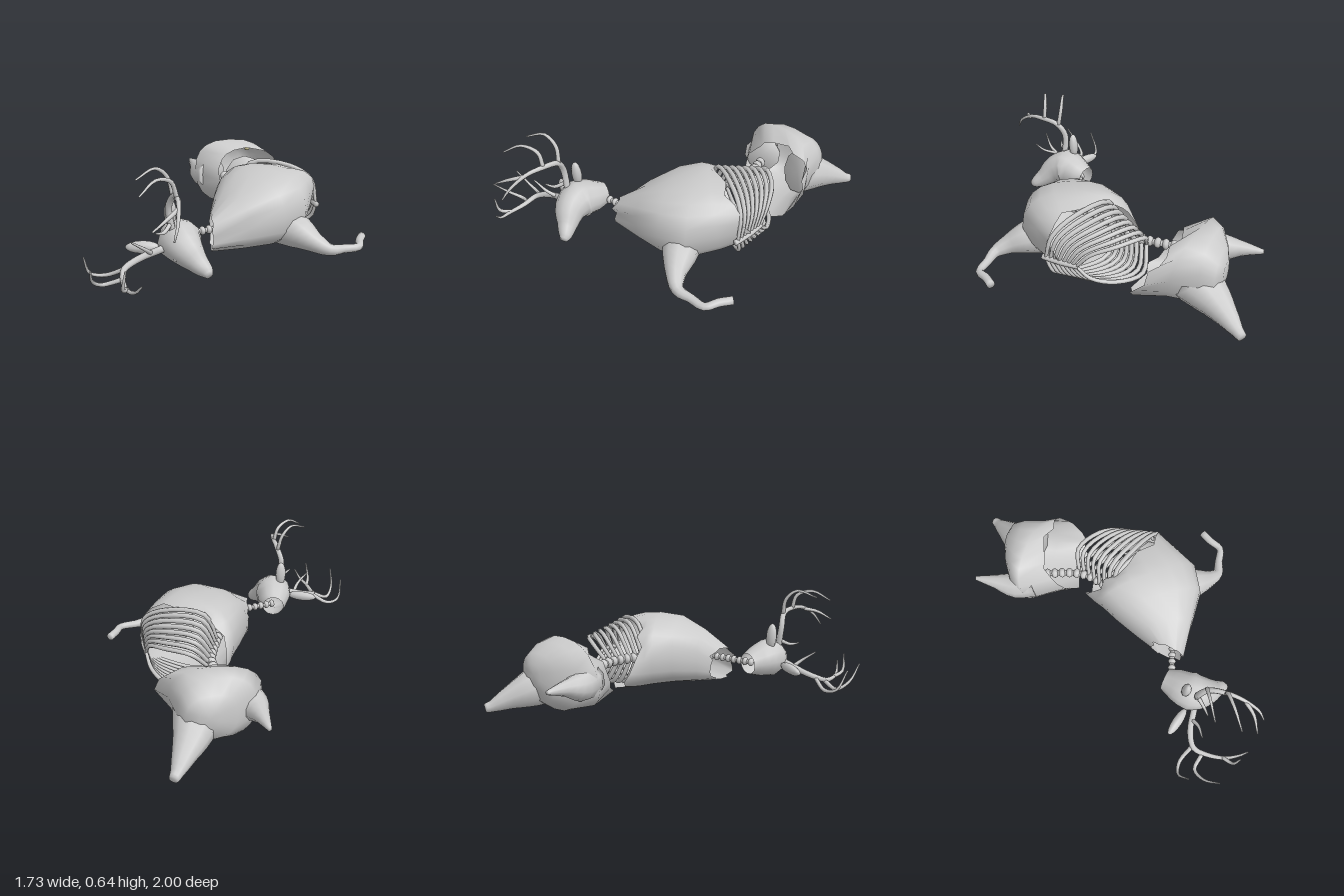
import * as THREE from 'three';

const grey = new THREE.MeshStandardMaterial({ color: 0xcccccc, side: THREE.DoubleSide });
const boneColour = new THREE.MeshStandardMaterial({ color: 0xd8d0a0 });
const V = (p) => new THREE.Vector3(...p);

function part(parent, name, geometry, material = grey) {
  const mesh = new THREE.Mesh(geometry, material);
  mesh.name = name;
  parent.add(mesh);
  return mesh;
}

// Skin a list of rings (equal point counts); optionally close either end.
function skin(rings, capStart, capEnd) {
  const n = rings[0].length, pos = [], index = [];
  rings.forEach((r) => r.forEach((p) => pos.push(p.x, p.y, p.z)));
  for (let i = 0; i < rings.length - 1; i++) {
    for (let j = 0; j < n; j++) {
      const a = i * n + j, b = i * n + (j + 1) % n;
      index.push(a, b, a + n, b, b + n, a + n);
    }
  }
  const cap = (ring, first, flip) => {
    const c = ring.reduce((s, p) => s.add(p), new THREE.Vector3()).divideScalar(n);
    const k = pos.length / 3;
    pos.push(c.x, c.y, c.z);
    for (let j = 0; j < n; j++) {
      const a = first + j, b = first + (j + 1) % n;
      index.push(...(flip ? [k, b, a] : [k, a, b]));
    }
  };
  if (capStart) cap(rings[0], 0, true);
  if (capEnd) cap(rings[rings.length - 1], (rings.length - 1) * n, false);
  const g = new THREE.BufferGeometry();
  g.setAttribute('position', new THREE.Float32BufferAttribute(pos, 3));
  g.setIndex(index);
  g.computeVertexNormals();
  return g;
}

// Tapered round limb through points [x, y, z, radius].
function limb(stations, steps = 3, sides = 8, capStart = true) {
  const curve = new THREE.CatmullRomCurve3(stations.map((s) => V(s.slice(0, 3))));
  const last = stations.length - 1, rings = [];
  let u = new THREE.Vector3(0.31, 0.83, 0.47);
  for (let i = 0; i <= last * steps; i++) {
    const f = i / steps, k = Math.min(Math.floor(f), last - 1);
    const r = THREE.MathUtils.lerp(stations[k][3], stations[k + 1][3], f - k);
    const c = curve.getPoint(f / last), t = curve.getTangent(f / last);
    u = u.clone().addScaledVector(t, -u.dot(t)).normalize();
    const v = t.clone().cross(u);
    rings.push(Array.from({ length: sides }, (_, j) => {
      const a = j / sides * Math.PI * 2;
      return c.clone().addScaledVector(u, r * Math.cos(a)).addScaledVector(v, r * Math.sin(a));
    }));
  }
  return skin(rings, capStart, true);
}

// Hide section: [spineX, spineZ, bellyX, bellyZ, bottom, top, lean, ragged]
function hideRing([sx, sz, bx, bz, y0, y1, lean = 0, ragged = 0], sides = 20) {
  const soft = (w) => Math.sign(w) * Math.abs(w) ** 0.8;
  return Array.from({ length: sides }, (_, j) => {
    const a = j / sides * Math.PI * 2, c = soft(Math.cos(a)), s = soft(Math.sin(a));
    const tear = ragged * Math.sin(j * 2.3);
    return new THREE.Vector3((sx + bx) / 2 + c * (sx - bx) / 2 - tear * 0.6,
      (y0 + y1) / 2 + s * (y1 - y0) / 2, (sz + bz) / 2 + c * (sz - bz) / 2 + lean * s + tear);
  });
}

function vertebrae(parent, name, points, count, size) {
  const group = new THREE.Group();
  group.name = name;
  const curve = new THREE.CatmullRomCurve3(points.map(V));
  part(group, 'spinalCord', new THREE.TubeGeometry(curve, 20, size * 0.6, 8));
  for (let i = 0; i < count; i++) {
    const f = i / (count - 1);
    const m = part(group, 'vertebra', new THREE.SphereGeometry(size, 8, 6));
    m.position.copy(curve.getPointAt(f));
    m.quaternion.setFromUnitVectors(new THREE.Vector3(0, 0, 1), curve.getTangentAt(f));
    m.scale.set(1, 1, 0.75);
  }
  parent.add(group);
}

// An antler is a list of branches; each tapers from its first point.
function antler(parent, name, branches) {
  const group = new THREE.Group();
  group.name = name;
  branches.forEach((pts, b) => {
    const r0 = b ? 0.014 : 0.021;
    const stations = pts.map((p, i) => [...p, THREE.MathUtils.lerp(r0, 0.005, (i / (pts.length - 1)) ** 1.5)]);
    part(group, b ? 'tine' : 'beam', limb(stations, 4, 7));
  });
  parent.add(group);
}

export function createModel() {
  const model = new THREE.Group();
  model.name = 'stagCarcass';

  // Torso hide, open at the neck and the torn waist
  part(model, 'torso', skin([
    [-0.06, 0.26, -0.10, 0.46, 0.04, 0.25, 0, 0.015],
    [-0.02, 0.16, 0.12, 0.49, 0.025, 0.36],
    [0.06, 0.00, 0.32, 0.51, 0.02, 0.44],
    [0.13, -0.11, 0.48, 0.45, 0.01, 0.46],
    [0.16, -0.15, 0.58, 0.29, 0.01, 0.46, 0.05],
    [0.20, -0.19, 0.67, 0.13, 0.025, 0.44, 0.11, 0.02],
  ].map((r) => hideRing(r))));

  // Hindquarters, hollow at the torn front
  const hind = new THREE.Group();
  hind.name = 'hindquarters';
  model.add(hind);
  part(hind, 'rump', skin([
    [0.22, -0.42, 0.67, -0.40, 0.02, 0.40, -0.12, 0.02],
    [0.10, -0.62, 0.62, -0.54, 0.01, 0.45, -0.05],
    [0.16, -0.72, 0.60, -0.70, 0.02, 0.43],
    [0.28, -0.78, 0.57, -0.78, 0.08, 0.37],
    [0.38, -0.81, 0.50, -0.81, 0.18, 0.31],
  ].map((r) => hideRing(r)), false, true));
  part(hind, 'leftHindLeg', limb([[0.48, 0.17, -0.64, 0.14], [0.53, 0.13, -0.76, 0.115],
    [0.60, 0.085, -0.87, 0.07], [0.655, 0.045, -0.95, 0.037], [0.68, 0.035, -0.985, 0.028]], 3, 10));
  part(hind, 'rightHindLeg', limb([[0.22, 0.21, -0.60, 0.12], [0.17, 0.20, -0.70, 0.09],
    [0.16, 0.22, -0.82, 0.047], [0.155, 0.23, -0.955, 0.013]], 3, 10));
  const stub = part(hind, 'boneStub', new THREE.SphereGeometry(0.02, 10, 8), boneColour);
  stub.position.set(0.5, 0.37, -0.66);

  // Foreleg folded out in front of the chest
  part(model, 'foreleg', limb([[0.38, 0.14, 0.36, 0.12], [0.44, 0.12, 0.46, 0.10], [0.50, 0.085, 0.55, 0.06],
    [0.57, 0.055, 0.61, 0.035], [0.66, 0.05, 0.605, 0.026], [0.76, 0.048, 0.60, 0.023],
    [0.80, 0.055, 0.53, 0.025], [0.85, 0.058, 0.465, 0.025]], 3, 10));

  // Exposed bones
  vertebrae(model, 'neckBones', [[-0.27, 0.175, 0.42], [-0.12, 0.178, 0.40], [0.10, 0.18, 0.37]], 10, 0.026);
  vertebrae(model, 'backBones', [[0.10, 0.18, 0.37], [0.17, 0.22, 0.1], [0.26, 0.23, -0.1], [0.31, 0.23, -0.24],
    [0.31, 0.23, -0.35], [0.28, 0.22, -0.50]], 20, 0.033);
  const ribs = new THREE.Group();
  ribs.name = 'ribCage';
  model.add(ribs);
  const mix = (a, b, f) => V(a).lerp(V(b), f).toArray();
  for (let i = 0; i < 8; i++) {
    const f = i / 7;
    const spine = mix([0.22, 0.23, -0.04], [0.34, 0.23, -0.30], f);
    const breast = mix([0.66, 0.20, 0.20], [0.665, 0.20, 0.0], f);
    for (const [near, far] of [[0.43, 0.34], [0.05, 0.09]]) {
      const y = near + (far - near) * f;
      const a = mix([0.30, y, -0.04], [0.44, y, -0.32], f);
      const b = mix([0.52, y, 0.08], [0.58, y, -0.21], f);
      const c = mix([0.64, 0, 0.16], [0.65, 0, -0.08], f);
      c[1] = y * 0.65 + 0.07;
      part(ribs, 'rib', limb([[...spine, 0.013], [...a, 0.015], [...b, 0.015], [...c, 0.013], [...breast, 0.01]], 4, 6));
    }
  }
  part(ribs, 'breastbone', limb([[0.655, 0.2, 0.22, 0.018], [0.665, 0.2, 0.1, 0.018], [0.665, 0.2, -0.01, 0.014]]));

  // Head, torn open at the neck
  const head = new THREE.Group();
  head.name = 'head';
  model.add(head);
  part(head, 'skull', limb([[-0.27, 0.175, 0.38, 0.07], [-0.29, 0.18, 0.45, 0.10], [-0.32, 0.19, 0.55, 0.125],
    [-0.305, 0.165, 0.63, 0.10], [-0.26, 0.11, 0.70, 0.062], [-0.225, 0.075, 0.75, 0.04],
    [-0.215, 0.06, 0.775, 0.022]], 3, 12, false));
  for (const p of [[-0.30, 0.225, 0.675], [-0.37, 0.13, 0.665]]) {
    part(head, 'eye', new THREE.SphereGeometry(0.014, 10, 8)).position.set(...p);
  }
  for (const [name, from, to] of [['upperEar', [-0.36, 0.26, 0.51], [-0.365, 0.43, 0.52]],
    ['lowerEar', [-0.43, 0.16, 0.54], [-0.61, 0.15, 0.46]]]) {
    const ear = part(head, name, new THREE.SphereGeometry(1, 10, 8));
    const axis = V(to).sub(V(from));
    ear.position.copy(V(from)).addScaledVector(axis, 0.5);
    ear.scale.set(0.036, axis.length() / 2, 0.03);
    ear.quaternion.setFromUnitVectors(new THREE.Vector3(0, 1, 0), axis.normalize());
  }

  // Antlers: the first branch is the beam, the rest are tines
  antler(head, 'upperAntler', [
    [[-0.37, 0.26, 0.59], [-0.39, 0.40, 0.59], [-0.375, 0.48, 0.64], [-0.38, 0.50, 0.75],
      [-0.40, 0.49, 0.85], [-0.43, 0.43, 0.95], [-0.46, 0.36, 0.995]],
    [[-0.375, 0.48, 0.63], [-0.40, 0.58, 0.62], [-0.47, 0.64, 0.64], [-0.585, 0.60, 0.69]],
    [[-0.38, 0.50, 0.74], [-0.41, 0.59, 0.745], [-0.50, 0.62, 0.79], [-0.60, 0.56, 0.85]],
    [[-0.405, 0.48, 0.86], [-0.47, 0.46, 0.92], [-0.56, 0.41, 0.96]],
    [[-0.38, 0.31, 0.59], [-0.43, 0.28, 0.64], [-0.48, 0.29, 0.67]],
  ]);
  antler(head, 'lowerAntler', [
    [[-0.42, 0.17, 0.59], [-0.56, 0.125, 0.59], [-0.65, 0.09, 0.63], [-0.67, 0.06, 0.72],
      [-0.67, 0.06, 0.83], [-0.645, 0.08, 0.91], [-0.62, 0.13, 0.96]],
    [[-0.64, 0.09, 0.62], [-0.74, 0.04, 0.56], [-0.82, 0.06, 0.56], [-0.86, 0.18, 0.62]],
    [[-0.67, 0.06, 0.69], [-0.77, 0.03, 0.66], [-0.83, 0.08, 0.72], [-0.85, 0.18, 0.81]],
    [[-0.67, 0.06, 0.82], [-0.70, 0.09, 0.88], [-0.69, 0.20, 0.91]],
    [[-0.49, 0.15, 0.59], [-0.53, 0.19, 0.63], [-0.61, 0.25, 0.66]],
  ]);
  return model;
}
